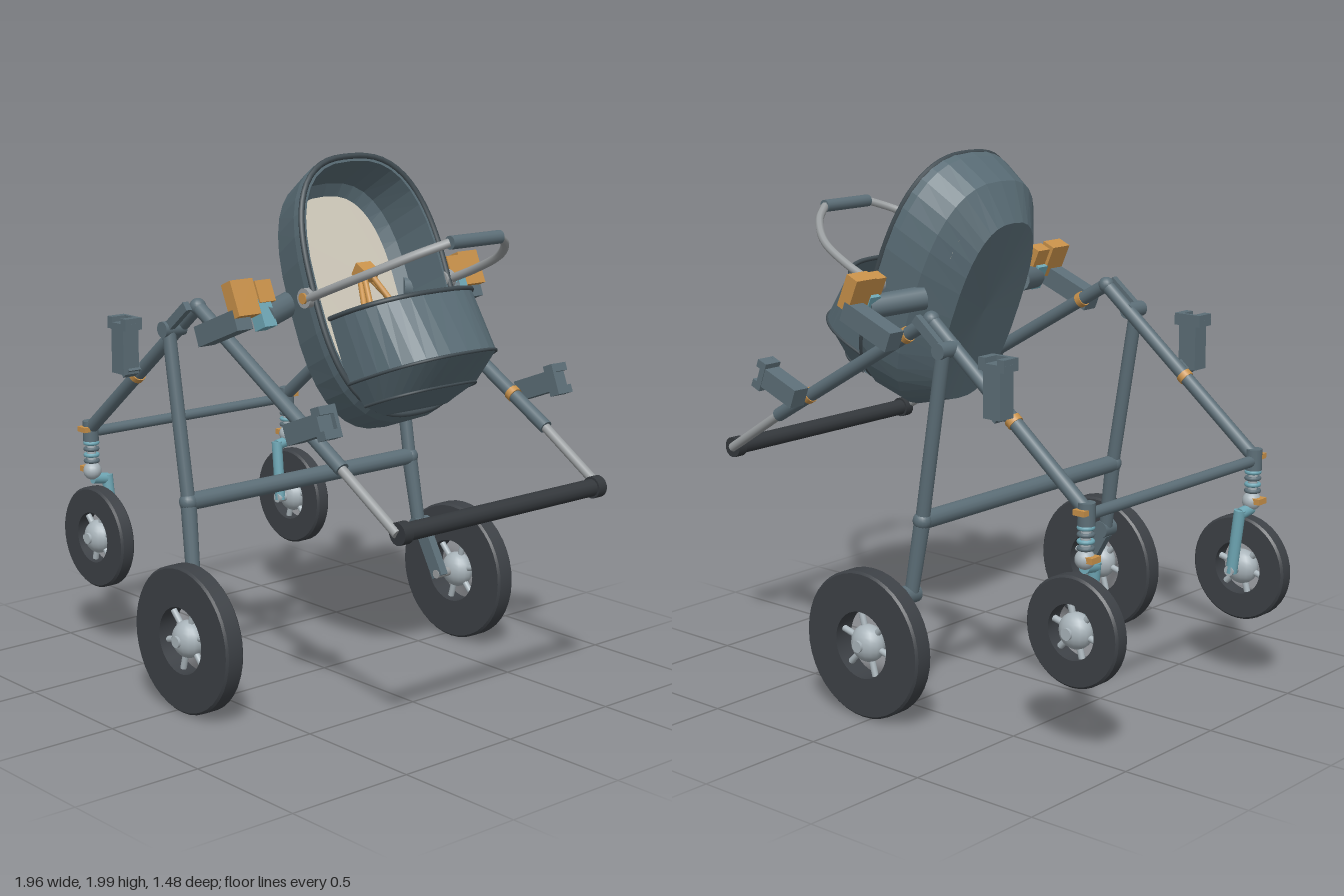
import * as THREE from 'three';
import { toCreasedNormals } from 'three/addons/utils/BufferGeometryUtils.js';

const V = (x, y, z) => new THREE.Vector3(x, y, z);

export function createModel() {
  const paint = (name, color, side = THREE.FrontSide) => {
    const m = new THREE.MeshStandardMaterial({ color, side });
    m.name = name;
    return m;
  };
  const steel = paint('slate frame', 0x5c6e77);
  const fabric = paint('slate fabric', 0x586b74, THREE.DoubleSide);
  const trim = paint('dark trim', 0x414c52);
  const rubber = paint('tyre rubber', 0x3d4146);
  const grip = paint('black grip', 0x34383c);
  const silver = paint('silver', 0x9b9fa1);
  const hubGrey = paint('pale hub', 0xa9b4ba);
  const orange = paint('orange', 0xc8914a);
  const teal = paint('teal', 0x6ea6b4);
  const cream = paint('cream lining', 0xd2ccbd);

  const root = new THREE.Group();
  root.name = 'pram';
  const add = (parent, name, geo, mat, x = 0, y = 0, z = 0, rz = 0) => {
    const m = new THREE.Mesh(geo, mat);
    m.name = name;
    m.position.set(x, y, z);
    m.rotation.z = rz;
    parent.add(m);
    return m;
  };
  const rod = (parent, name, a, b, r, mat, r2 = r) => {
    const d = b.clone().sub(a);
    const m = add(parent, name, new THREE.CylinderGeometry(r2, r, d.length(), 14), mat);
    m.position.copy(a).addScaledVector(d, 0.5);
    m.quaternion.setFromUnitVectors(V(0, 1, 0), d.normalize());
    return m;
  };
  const ball = (p, name, at, r, mat) => add(p, name, new THREE.SphereGeometry(r, 16, 12), mat, at.x, at.y, at.z);
  const box = (p, name, w, h, d, mat, x, y, z, rz) => add(p, name, new THREE.BoxGeometry(w, h, d), mat, x, y, z, rz);

  // Faceted skin through equal-length rows of points
  const loft = (rows) => {
    const n = rows[0].length, idx = [];
    for (let i = 0; i < rows.length - 1; i++)
      for (let j = 0; j < n - 1; j++) {
        const a = i * n + j, b = a + n;
        idx.push(a, a + 1, b, a + 1, b + 1, b);
      }
    let g = new THREE.BufferGeometry().setFromPoints(rows.flat());
    g.setIndex(idx);
    g = g.toNonIndexed();
    g.computeVertexNormals();
    return g;
  };
  const sPow = (v, e) => Math.sign(v) * Math.pow(Math.abs(v), e);
  // Rounded outline in the plane of the cot rim
  const outline = (n, u0, u1, w, count = 36) => Array.from({ length: count + 1 }, (_, i) => {
    const t = (i / count) * Math.PI * 2;
    return V((u0 + u1) / 2 + ((u1 - u0) / 2) * sPow(Math.cos(t), 0.75), n, w * sPow(Math.sin(t), 0.75));
  });

  // Cot: local x runs from head to foot, local y points out of the opening
  const cot = new THREE.Group();
  cot.name = 'cot';
  cot.position.set(0.14, 1.995, 0);
  cot.rotation.z = -1.19;
  root.add(cot);
  add(cot, 'cotShell', loft([
    outline(-0.285, 0.52, 0.52, 0), outline(-0.295, 0.15, 0.9, 0.19), outline(-0.18, 0.035, 0.98, 0.3),
    outline(-0.04, 0, 0.985, 0.33), outline(0, 0, 0.97, 0.33), outline(0, 0.025, 0.945, 0.305),
    outline(-0.16, 0.06, 0.94, 0.28), outline(-0.24, 0.15, 0.88, 0.19), outline(-0.24, 0.52, 0.52, 0),
  ]), fabric);
  const tube = (pts, r, closed, mat, name, seg = 48, parent = cot) =>
    add(parent, name, new THREE.TubeGeometry(new THREE.CatmullRomCurve3(pts, closed, 'centripetal'), seg, r, 8, closed), mat);
  tube(outline(0, 0.006, 0.965, 0.325).slice(0, -1), 0.011, true, trim, 'cotRim', 72);

  // Mattress with rounded corners
  const bed = new THREE.Shape(outline(0, 0.1, 0.88, 0.245, 40).slice(0, -1).map((p) => new THREE.Vector2(p.x, p.z)));
  const bedGeo = new THREE.ExtrudeGeometry(bed, { depth: 0.04, bevelEnabled: false });
  bedGeo.rotateX(Math.PI / 2);
  add(cot, 'mattress', bedGeo, cream, 0, -0.195, 0);

  // Foot cover: arched sections shrinking towards the foot
  const arch = (u, h, w, n0 = 0) => Array.from({ length: 19 }, (_, i) => {
    const t = (i / 18) * Math.PI;
    return V(u, n0 + h * Math.pow(Math.sin(t), 0.75), w * sPow(Math.cos(t), 0.75));
  });
  add(cot, 'footCover', loft([
    arch(0.585, 0.273, 0.285), arch(0.825, 0.338, 0.275), arch(0.912, 0.206, 0.225),
    arch(0.955, 0.05, 0.15), arch(0.957, 0, 0.12),
  ]), fabric);
  tube(arch(0.585, 0.273, 0.285), 0.009, false, trim, 'coverEdge');
  tube(arch(0.825, 0.338, 0.275), 0.006, false, trim, 'coverSeam');
  tube(arch(0.912, 0.206, 0.225), 0.006, false, trim, 'lowerCoverSeam');
  box(cot, 'coverLining', 0.008, 0.1, 0.3, cream, 0.8, 0.2, 0);

  // Harness
  box(root, 'harnessBuckle', 0.06, 0.05, 0.07, orange, 0.23, 1.575, 0, -0.5);
  for (const s of [1, -1]) for (const k of [0, 0.025])
    rod(root, 'harnessStrap', V(0.22 + k, 1.56, s * 0.02), V(0.35 + k * 0.5, 1.41, s * (0.1 - k)), 0.011, orange);

  // Carry handle
  const half = [V(0.3, 1.52, 0.345), V(0.45, 1.58, 0.34), V(0.6, 1.645, 0.305), V(0.72, 1.71, 0.215), V(0.785, 1.75, 0.12)];
  for (const s of [1, -1]) {
    const p = half.map((v) => V(v.x, v.y, v.z * s));
    tube(p, 0.016, false, silver, 'carryHandle', 24, root);
    rod(root, 'handlePivot', V(0.3, 1.525, s * 0.31), V(0.3, 1.525, s * 0.355), 0.036, silver);
    rod(root, 'pivotCap', V(0.3, 1.525, s * 0.355), V(0.3, 1.525, s * 0.362), 0.02, orange);
  }
  rod(root, 'carryGrip', V(0.787, 1.75, -0.12), V(0.787, 1.75, 0.12), 0.024, steel);

  // Wheel with ring tyre, spokes and round hub
  const wheel = (name, x, y, z, R, rIn, w, hub, s) => {
    const g = new THREE.Group();
    g.name = name;
    g.position.set(x, y, z * s);
    root.add(g);
    const h = w / 2;
    const prof = [[rIn, -h], [R - 0.008, -h], [R, -h + 0.008], [R, h - 0.008], [R - 0.008, h], [rIn, h], [rIn, -h]];
    const geo = new THREE.LatheGeometry(prof.map((p) => new THREE.Vector2(...p)), 40);
    geo.rotateX(Math.PI / 2);
    add(g, 'tyre', toCreasedNormals(geo, 0.6), rubber);
    ball(g, 'hub', V(0, 0, 0), hub, hubGrey).scale.z = 0.8;
    rod(g, 'hubCap', V(0, 0, 0), V(0, 0, s * (hub * 0.8 + 0.006)), 0.022, hubGrey);
    for (let i = 0; i < 6; i++) {
      const a = (i / 6) * Math.PI * 2 + 0.25, c = Math.cos(a), d = Math.sin(a);
      rod(g, 'spoke', V(c * hub * 0.7, d * hub * 0.7, 0), V(c * (rIn + 0.01), d * (rIn + 0.01), 0), 0.012, hubGrey);
    }
  };

  // Notched accessory bracket, upright in its own frame
  const bracket = (x, y, z, rz) => {
    const g = new THREE.Group();
    g.name = 'bracket';
    g.position.set(x, y, z);
    g.rotation.z = rz;
    root.add(g);
    box(g, 'bracketBody', 0.075, 0.17, 0.07, steel, 0, -0.02, 0);
    box(g, 'bracketTop', 0.115, 0.025, 0.075, steel, 0, 0.075, 0);
    for (const k of [1, -1]) box(g, 'bracketJaw', 0.03, 0.025, 0.075, steel, k * 0.042, 0.095, 0);
    box(g, 'bracketBack', 0.115, 0.025, 0.015, steel, 0, 0.095, z > 0 ? -0.03 : 0.03);
  };

  for (const s of [1, -1]) {
    const P = (x, y, z) => V(x, y, z * s);
    wheel('frontWheel', -0.78, 0.46, 0.5, 0.2, 0.1, 0.062, 0.066, s);
    wheel('rearWheel', 0.035, 0.28, 0.68, 0.275, 0.125, 0.078, 0.07, s);

    // Main side tubes
    rod(root, 'frontTube', P(-0.82, 0.89, 0.5), P(-0.12, 1.46, 0.5), 0.026, steel);
    rod(root, 'rearTube', P(-0.12, 1.46, 0.5), P(0.67, 1.0, 0.5), 0.026, steel);
    rod(root, 'pushTube', P(0.66, 1.005, 0.5), P(0.94, 0.83, 0.495), 0.018, silver);
    ball(root, 'topJoint', P(-0.12, 1.46, 0.5), 0.031, steel);
    for (const [x, y, a] of [[-0.5, 1.15, 0.684], [0, 1.39, -0.527], [0.5, 1.1, -0.527]])
      rod(root, 'tubeClip', P(x - 0.012 * Math.cos(a), y - 0.012 * Math.sin(a), 0.5), P(x + 0.012 * Math.cos(a), y + 0.012 * Math.sin(a), 0.5), 0.03, orange);
    rod(root, 'handleEnd', P(0.94, 0.83, 0.455), P(0.94, 0.83, 0.495), 0.04, grip);

    // Rear leg, hinge and trailing arm
    rod(root, 'rearLeg', P(-0.225, 1.37, 0.555), P(-0.12, 0.74, 0.555), 0.026, steel);
    rod(root, 'lowerLeg', P(-0.12, 0.74, 0.555), P(-0.075, 0.45, 0.57), 0.03, steel, 0.026);
    rod(root, 'legHinge', P(-0.225, 1.37, 0.49), P(-0.225, 1.37, 0.585), 0.03, steel);
    box(root, 'legHingePlate', 0.16, 0.035, 0.025, steel, -0.165, 1.42, s * 0.56, 0.68);
    ball(root, 'legJoint', P(-0.12, 0.74, 0.555), 0.035, steel);
    rod(root, 'armPivot', P(-0.07, 0.46, 0.54), P(-0.07, 0.46, 0.61), 0.035, steel);
    box(root, 'trailingArm', 0.2, 0.06, 0.035, steel, -0.01, 0.355, s * 0.58, -1.05);
    rod(root, 'rearAxle', P(0.035, 0.28, 0.56), P(0.035, 0.28, 0.68), 0.018, silver);

    // Front suspension post, spring and fork
    rod(root, 'steeringCap', P(-0.82, 0.84, 0.5), P(-0.82, 0.92, 0.5), 0.031, steel);
    rod(root, 'springCore', P(-0.815, 0.7, 0.5), P(-0.82, 0.85, 0.5), 0.018, hubGrey);
    for (let i = 0; i < 4; i++) {
      const coil = add(root, 'springCoil', new THREE.TorusGeometry(0.024, 0.008, 8, 18), i % 2 ? teal : steel, -0.818, 0.76 + i * 0.024, s * 0.5);
      coil.rotation.x = Math.PI / 2;
    }
    ball(root, 'forkCrown', P(-0.815, 0.72, 0.5), 0.036, hubGrey);
    box(root, 'steeringLock', 0.04, 0.022, 0.05, orange, -0.845, 0.725, s * 0.5);
    box(root, 'capClip', 0.05, 0.02, 0.04, orange, -0.82, 0.89, s * 0.525);
    rod(root, 'forkTop', P(-0.812, 0.69, 0.5), P(-0.808, 0.68, 0.435), 0.022, teal);
    rod(root, 'forkLeg', P(-0.808, 0.695, 0.435), P(-0.78, 0.45, 0.43), 0.022, teal);
    rod(root, 'frontAxle', P(-0.78, 0.46, 0.41), P(-0.78, 0.46, 0.5), 0.02, hubGrey);

    // Cot mounts: slide plate, latch and arm to the shell
    box(root, 'mountPlate', 0.24, 0.075, 0.07, steel, 0.11, 1.42, s * 0.565, 0.38);
    box(root, 'latch', 0.055, 0.13, 0.1, orange, 0.195, 1.53, s * 0.55, 0.42);
    box(root, 'latchTab', 0.05, 0.08, 0.07, orange, 0.2, 1.545, s * 0.465, 0.42);
    box(root, 'latchLever', 0.06, 0.1, 0.055, teal, 0.22, 1.47, s * 0.475, 0.42);
    rod(root, 'cotArm', P(0.22, 1.46, 0.47), P(0.13, 1.48, 0.27), 0.045, steel);

    // Accessory brackets
    bracket(-0.485, 1.275, s * 0.565, 0);
    box(root, 'bracketFoot', 0.05, 0.03, 0.08, steel, -0.47, 1.18, s * 0.54, 0.68);
    bracket(0.585, 1.14, s * 0.565, -1.2);
  }

  // Cross members
  rod(root, 'pushHandle', V(0.94, 0.83, -0.47), V(0.94, 0.83, 0.47), 0.032, grip);
  rod(root, 'frontCrossbar', V(-0.82, 0.875, -0.49), V(-0.82, 0.875, 0.49), 0.021, steel);
  rod(root, 'rearCrossbar', V(-0.12, 0.74, -0.545), V(-0.12, 0.74, 0.545), 0.033, steel);

  return root;
}
